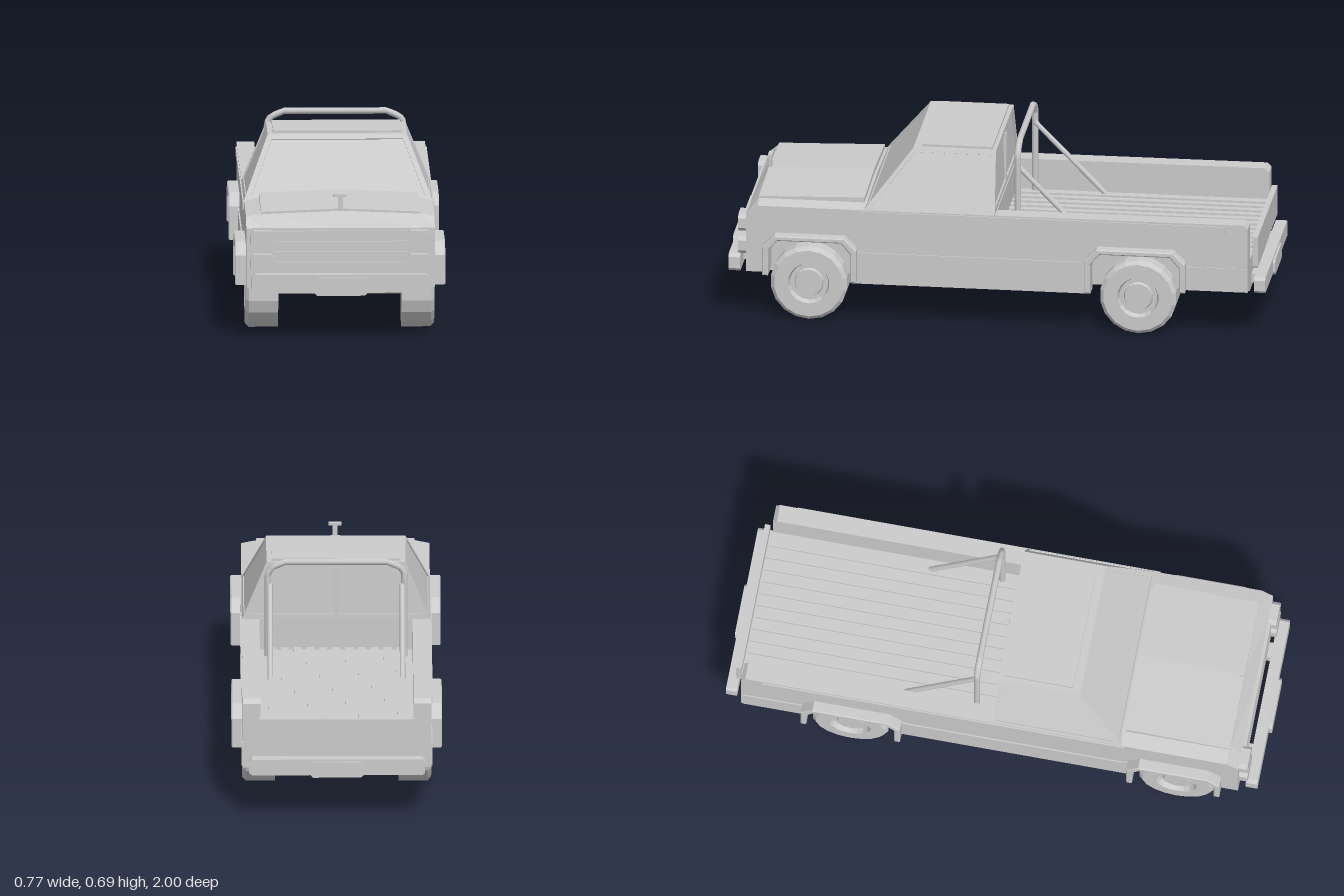
import * as THREE from 'three';

const mat = new THREE.MeshStandardMaterial({ color: 0xcccccc, flatShading: true });
const smooth = new THREE.MeshStandardMaterial({ color: 0xcccccc });

export function createModel() {
  const truck = new THREE.Group();
  truck.name = 'pickupTruck';

  const add = (name, geo, material = mat) => {
    const m = new THREE.Mesh(geo, material);
    m.name = name;
    truck.add(m);
    return m;
  };
  // Box from its limits on each axis
  const box = (name, x0, x1, y0, y1, z0, z1) =>
    add(name, new THREE.BoxGeometry(x1 - x0, y1 - y0, z1 - z0)
      .translate((x0 + x1) / 2, (y0 + y1) / 2, (z0 + z1) / 2));
  const shapeOf = pts => new THREE.Shape(pts.map(p => new THREE.Vector2(...p)));
  // Side profile of [z, y] points, extruded across x
  const sideExtrude = (name, pts, x0, x1, bevel = 0) => {
    const g = new THREE.ExtrudeGeometry(shapeOf(pts), {
      depth: x1 - x0 - 2 * bevel, bevelEnabled: bevel > 0, bevelSize: bevel,
      bevelThickness: bevel, bevelOffset: -bevel, bevelSegments: 1,
    });
    return add(name, g.rotateY(-Math.PI / 2).translate(x1 - bevel, 0, 0));
  };
  // Front profile of [x, y] points, extruded along z; warp(x, y, t) gives y, t from 0 (rear) to 1 (front)
  const frontExtrude = (name, pts, z0, z1, warp = (x, y) => y) => {
    const g = new THREE.ExtrudeGeometry(shapeOf(pts), { depth: z1 - z0, bevelEnabled: false });
    const p = g.attributes.position;
    for (let i = 0; i < p.count; i++) p.setY(i, warp(p.getX(i), p.getY(i), p.getZ(i) / (z1 - z0)));
    g.translate(0, 0, z0).computeVertexNormals();
    return add(name, g);
  };
  // Front-facing panel with chamfered corners
  const chamferPanel = (name, x0, x1, y0, y1, z0, z1, c) =>
    frontExtrude(name, [[x0 + c, y0], [x1 - c, y0], [x1, y0 + c], [x1, y1 - c],
      [x1 - c, y1], [x0 + c, y1], [x0, y1 - c], [x0, y0 + c]], z0, z1);
  // Four-cornered cab face with a border and a recessed pane
  const windowFace = (name, corners, margin, depth) => {
    const o = corners.map(c => new THREE.Vector3(...c));
    const n = o[1].clone().sub(o[0]).cross(o[3].clone().sub(o[0])).normalize();
    const inner = o.map((p, i) => {
      const a = o[(i + 1) % 4].clone().sub(p).normalize();
      const b = o[(i + 3) % 4].clone().sub(p).normalize();
      const k = margin / a.clone().cross(b).length();
      return p.clone().addScaledVector(a, k).addScaledVector(b, k);
    });
    const pane = inner.map(p => p.clone().addScaledVector(n, -depth));
    const tri = [];
    const quad = (a, b, c, d) => tri.push(a, b, c, a, c, d);
    for (let i = 0; i < 4; i++) {
      const j = (i + 1) % 4;
      quad(o[i], o[j], inner[j], inner[i]);
      quad(inner[i], inner[j], pane[j], pane[i]);
    }
    quad(...pane);
    const g = new THREE.BufferGeometry().setFromPoints(tri);
    g.computeVertexNormals();
    add(name, g);
  };

  // Body sides with wheel arch cut-outs
  const wall = [
    [0.92, 0.18], [0.92, 0.4], [0.88, 0.435], [-0.915, 0.44], [-0.93, 0.425], [-0.93, 0.18],
    [-0.68, 0.18], [-0.68, 0.27], [-0.645, 0.315], [-0.385, 0.315], [-0.35, 0.27], [-0.35, 0.15],
    [0.53, 0.15], [0.53, 0.27], [0.57, 0.315], [0.8, 0.315], [0.835, 0.27], [0.835, 0.18],
  ];
  for (const s of [-1, 1]) {
    const span = (a, b) => (s > 0 ? [a, b] : [-b, -a]);
    sideExtrude('bodySide', wall, ...span(0.28, 0.345));
    sideExtrude('rockerPanel', [[0.52, 0.165], [0.52, 0.285], [0.49, 0.272], [-0.31, 0.272], [-0.34, 0.285], [-0.34, 0.165]], ...span(0.33, 0.35));
    box('rearLowerPanel', ...span(0.33, 0.349), 0.185, 0.272, -0.925, -0.69);
    box('beltTrim', ...span(0.33, 0.35), 0.405, 0.432, -0.85, 0.5);
  }
  // Engine bay and cab lower block
  sideExtrude('frontBody', [[0.92, 0.18], [0.92, 0.4], [0.88, 0.435], [0, 0.44], [0, 0.165], [0.9, 0.165]], -0.281, 0.281);
  box('underbody', -0.3, 0.3, 0.147, 0.2, -0.34, 0.5);

  // Crowned nose, its sloping front edge, and the raised hood panel
  const crown = [[-0.345, 0.4], [0.345, 0.4], [0.345, 0.436], [0.28, 0.449], [0, 0.46], [-0.28, 0.449], [-0.345, 0.436]];
  frontExtrude('noseCrown', crown, 0.48, 0.878);
  frontExtrude('noseEdge', crown, 0.878, 0.921, (x, y, t) => y + t * (0.4 - y));
  frontExtrude('hood', [[-0.29, 0.44], [0.29, 0.44], [0.29, 0.466], [0, 0.478], [-0.29, 0.466]],
    0.49, 0.88, (x, y, t) => y - 0.012 * t);
  box('hoodOrnamentStem', -0.009, 0.009, 0.455, 0.512, 0.869, 0.879);
  box('hoodOrnamentTop', -0.024, 0.024, 0.508, 0.518, 0.866, 0.882);

  // Cab faces: corners run counter-clockwise seen from outside
  const B = 0.345, T = 0.255, yb = 0.437, yt = 0.655, fb = 0.487, ft = 0.315, rb = 0.003, rt = 0.01;
  windowFace('windshield', [[-B, yb, fb], [B, yb, fb], [T, yt, ft], [-T, yt, ft]], 0.02, 0.004);
  windowFace('rearWindow', [[B, yb, rb], [-B, yb, rb], [-T, yt, rt], [T, yt, rt]], 0.022, 0.006);
  windowFace('leftWindow', [[B, yb, fb], [B, yb, rb], [T, yt, rt], [T, yt, ft]], 0.015, 0.004);
  windowFace('rightWindow', [[-B, yb, rb], [-B, yb, fb], [-T, yt, ft], [-T, yt, rt]], 0.015, 0.004);
  box('roof', -T, T, 0.645, yt, rt, ft);
  box('roofPanel', -0.235, 0.235, 0.65, 0.664, 0.025, 0.285);
  box('rearWindowDivider', -0.008, 0.008, 0.455, 0.637, 0.003, 0.02);

  // Cargo bed: floor raised above the chassis
  box('chassis', -0.285, 0.285, 0.165, 0.285, -0.93, 0.005);
  box('bedFloor', -0.285, 0.285, 0.315, 0.321, -0.95, 0.005);
  for (let i = 0; i < 11; i++) {
    const x = -0.235 + i * 0.047;
    box('bedRib', x - 0.014, x + 0.014, 0.318, 0.33, -0.935, 0.002);
  }
  box('tailgate', -0.285, 0.285, 0.265, 0.375, -0.96, -0.94);

  // Roll bar with rear braces
  const tube = (name, pts, r) => {
    const path = new THREE.CurvePath();
    const v = pts.map(p => new THREE.Vector3(...p));
    for (let i = 1; i < v.length; i++) path.add(new THREE.LineCurve3(v[i - 1], v[i]));
    return add(name, new THREE.TubeGeometry(path, 64, r, 8), smooth);
  };
  tube('rollBar', [[-0.25, 0.31, -0.07], [-0.25, 0.64, -0.07], [-0.235, 0.663, -0.07], [-0.187, 0.683, -0.07],
    [0.187, 0.683, -0.07], [0.235, 0.663, -0.07], [0.25, 0.64, -0.07], [0.25, 0.31, -0.07]], 0.012);
  for (const x of [-0.242, 0.242]) tube('rollBarBrace', [[x, 0.597, -0.07], [x, 0.315, -0.345]], 0.01);

  // Wheel arch flares
  const flare = (z0, z1, low0, low1) => [
    [z0, low0], [z0, 0.29], [z0 + 0.045, 0.335], [z1 - 0.045, 0.335], [z1, 0.29], [z1, low1],
    [z1 - 0.022, low1], [z1 - 0.022, 0.275], [z1 - 0.057, 0.316], [z0 + 0.057, 0.316], [z0 + 0.022, 0.275], [z0 + 0.022, low0],
  ];
  for (const [x0, x1] of [[0.335, 0.385], [-0.385, -0.335]]) {
    sideExtrude('frontFlare', flare(0.51, 0.857, 0.165, 0.18), x0, x1, 0.004);
    sideExtrude('rearFlare', flare(-0.703, -0.332, 0.18, 0.165), x0, x1, 0.004);
  }

  // Wheels and axles
  const wheelProfile = [[0, -0.06], [0.142, -0.06], [0.142, 0.047], [0.128, 0.06],
    [0.077, 0.06], [0.07, 0.038], [0.054, 0.038], [0.05, 0.05], [0, 0.05]].map(p => new THREE.Vector2(...p));
  for (const z of [0.69, -0.525]) {
    for (const s of [-1, 1]) {
      const w = add('wheel', new THREE.LatheGeometry(wheelProfile, 18, Math.PI / 2));
      w.rotation.z = -s * Math.PI / 2;
      w.position.set(s * 0.286, 0.142, z);
    }
    add('axle', new THREE.CylinderGeometry(0.022, 0.022, 0.46, 10).rotateZ(Math.PI / 2).translate(0, 0.143, z));
  }

  // Grille bars and stacked headlights
  for (let i = 0; i < 4; i++) {
    const y = 0.25 + i * 0.038;
    box('grilleBar', -0.245, 0.245, y, y + 0.026, 0.91, 0.932);
  }
  for (const x of [-0.286, 0.286]) for (const y of [0.273, 0.36])
    chamferPanel('headlight', x - 0.045, x + 0.045, y - 0.033, y + 0.033, 0.91, 0.952, 0.014);

  // Bumpers, brackets and blank plates
  chamferPanel('frontBumper', -0.326, 0.326, 0.17, 0.237, 0.945, 0.988, 0.012);
  chamferPanel('frontPlate', -0.1, 0.1, 0.161, 0.229, 0.985, 1, 0.012);
  chamferPanel('rearBumper', -0.322, 0.322, 0.17, 0.23, -0.992, -0.95, 0.01);
  chamferPanel('rearPlate', -0.1, 0.1, 0.163, 0.222, -1, -0.985, 0.012);
  for (const x of [-0.2, 0.2]) {
    box('frontBumperBracket', x - 0.03, x + 0.03, 0.185, 0.22, 0.9, 0.95);
    box('rearBumperBracket', x - 0.03, x + 0.03, 0.18, 0.215, -0.955, -0.92);
  }
  return truck;
}
